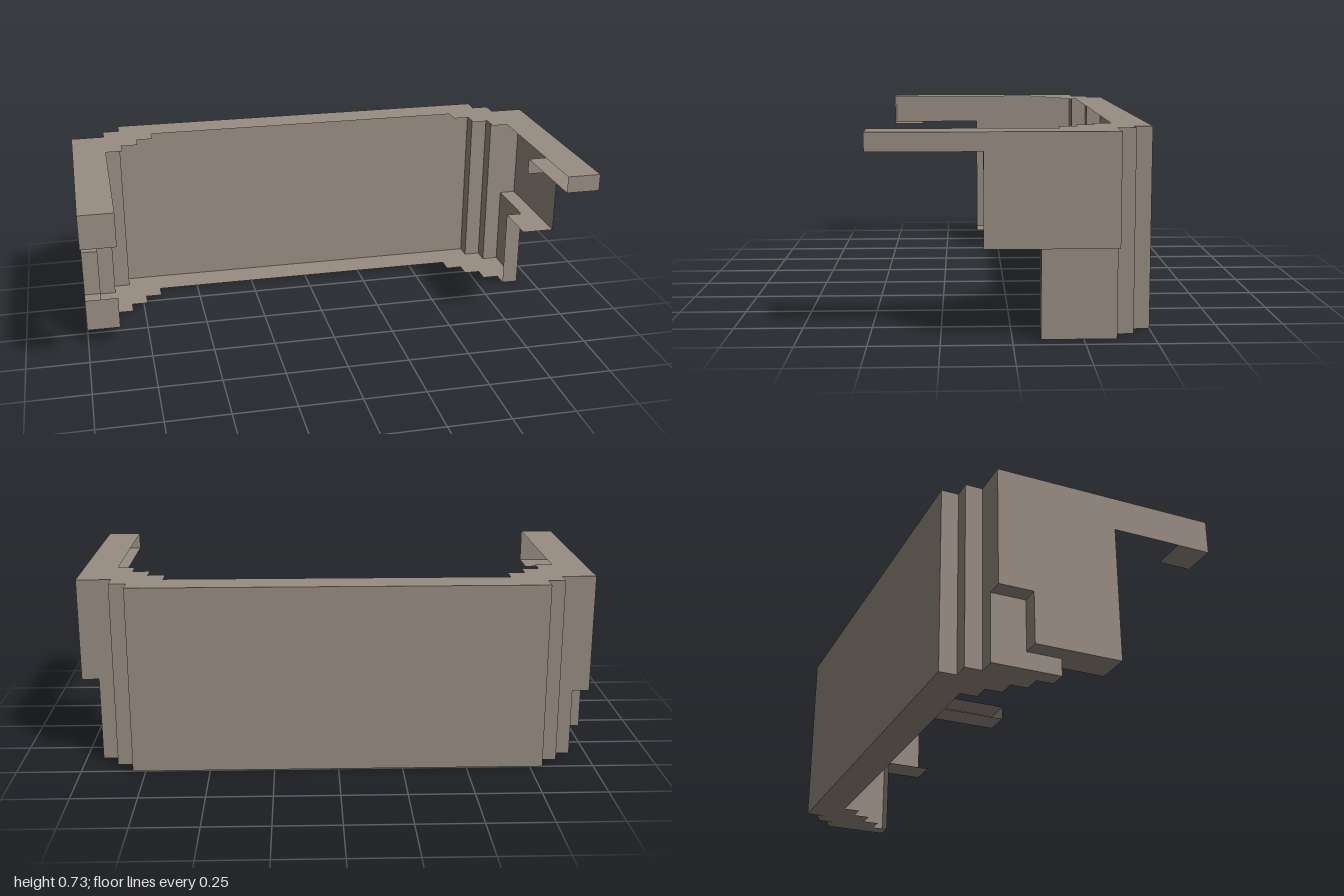
import * as THREE from 'three';

// Modelled in grid cells, fifteen cells to one unit.
const CELL = 1 / 15;

export function createModel() {
  const model = new THREE.Group();
  model.name = 'steppedShell';
  const stone = new THREE.MeshStandardMaterial({ color: 0x988d82, side: THREE.DoubleSide });
  stone.name = 'warm grey';

  function add(name, geometry) {
    const mesh = new THREE.Mesh(geometry.scale(CELL, CELL, CELL), stone);
    mesh.name = name;
    model.add(mesh);
  }

  // Upright panel running left to right as seen from its outer side.
  function wall(name, [x1, z1], [x2, z2], bottom, top) {
    const dx = x2 - x1, dz = z2 - z1;
    const geometry = new THREE.PlaneGeometry(Math.hypot(dx, dz), top - bottom);
    geometry.rotateY(-Math.atan2(dz, dx));
    geometry.translate((x1 + x2) / 2, (bottom + top) / 2, (z1 + z2) / 2);
    add(name, geometry);
  }

  // Level panel from an outline of [x, z] points, facing up or down.
  function plate(name, outline, y, up = false) {
    const shape = new THREE.Shape(outline.map(([x, z]) => new THREE.Vector2(x, up ? -z : z)));
    const geometry = new THREE.ShapeGeometry(shape);
    geometry.rotateX(up ? -Math.PI / 2 : Math.PI / 2);
    geometry.translate(0, y, 0);
    add(name, geometry);
  }

  const rect = (x1, x2, z1, z2) => [[x1, z1], [x2, z1], [x2, z2], [x1, z2]];
  const mirrored = (half) => [...half, ...half.map(([x, z]) => [-x, z]).reverse()];

  // Stepped inner corner, shared by the rim and the base
  const innerSteps = [[12, -2.5], [12, -3.5], [11, -3.5], [11, -4.5], [10, -4.5], [10, -5.5]];

  // Top rim with both arms
  plate('topRim', mirrored([
    [12, -7.5], [12, -6.5], [13, -6.5], [13, -5.5], [15, -5.5], [15, 7.5], [13, 7.5], [13, -2.5],
    ...innerSteps,
  ]), 11, true);

  // Base plate
  plate('basePlate', mirrored([
    [12, -7.5], [12, -6.5], [13, -6.5], [13, -5.5], [14, -5.5], [14, -1.5], [13, -1.5], [13, -2.5],
    ...innerSteps,
  ]), 0);

  // Back wall and its stepped corners
  wall('backWall', [12, -7.5], [-12, -7.5], 0, 11);
  wall('leftCornerStep', [12, -6.5], [12, -7.5], 0, 11);
  wall('leftCornerStep', [13, -6.5], [12, -6.5], 0, 11);
  wall('leftCornerStep', [13, -5.5], [13, -6.5], 0, 11);
  wall('rightCornerStep', [-12, -7.5], [-12, -6.5], 0, 11);
  wall('rightCornerStep', [-12, -6.5], [-13, -6.5], 0, 11);
  wall('rightCornerStep', [-13, -6.5], [-13, -5.5], 0, 11);

  // Left side: upper wall overhanging a narrower lower wall
  wall('leftShoulder', [15, -5.5], [13, -5.5], 5, 11);
  wall('leftUpperWall', [15, 1.5], [15, -5.5], 5, 11);
  wall('leftLowerShoulder', [14, -5.5], [13, -5.5], 0, 5);
  wall('leftLowerWall', [14, -1.5], [14, -5.5], 0, 5);
  wall('leftLowerEnd', [13, -1.5], [14, -1.5], 0, 5);
  plate('leftOverhang', [[14, -5.5], [15, -5.5], [15, 1.5], [13, 1.5], [13, -1.5], [14, -1.5]], 5);
  wall('leftLip', [13, 1.5], [15, 1.5], 9, 10);

  // Left arm
  wall('leftArmSide', [15, 7.5], [15, 1.5], 10, 11);
  wall('leftArmEnd', [13, 7.5], [15, 7.5], 10, 11);
  plate('leftArmUnderside', rect(13, 15, 1.5, 7.5), 10);

  // Right side with a notch at its lower back corner
  wall('rightShoulder', [-13, -5.5], [-15, -5.5], 4, 11);
  wall('rightRearWall', [-15, -5.5], [-15, -3.5], 4, 11);
  wall('rightWall', [-15, -3.5], [-15, 1.5], 1, 11);
  wall('notchBack', [-13, -5.5], [-14, -5.5], 0, 4);
  wall('notchSide', [-14, -5.5], [-14, -3.5], 0, 4);
  wall('notchEnd', [-14, -3.5], [-15, -3.5], 1, 4);
  plate('notchTop', rect(-15, -14, -5.5, -3.5), 4);
  wall('rightFoot', [-14, -3.5], [-14, -1.5], 0, 1);
  wall('rightFootEnd', [-14, -1.5], [-13, -1.5], 0, 1);
  plate('rightUnderside', [[-15, -3.5], [-14, -3.5], [-14, -1.5], [-13, -1.5], [-13, 1.5], [-15, 1.5]], 1);
  wall('rightFrontBlock', [-15, 1.5], [-13, 1.5], 1, 3);

  // Right arm
  wall('rightArmSide', [-15, 1.5], [-15, 7.5], 9, 11);
  wall('rightArmEnd', [-15, 7.5], [-13, 7.5], 9, 11);
  plate('rightArmTip', rect(-15, -13, 5.5, 7.5), 9);

  return model;
}
